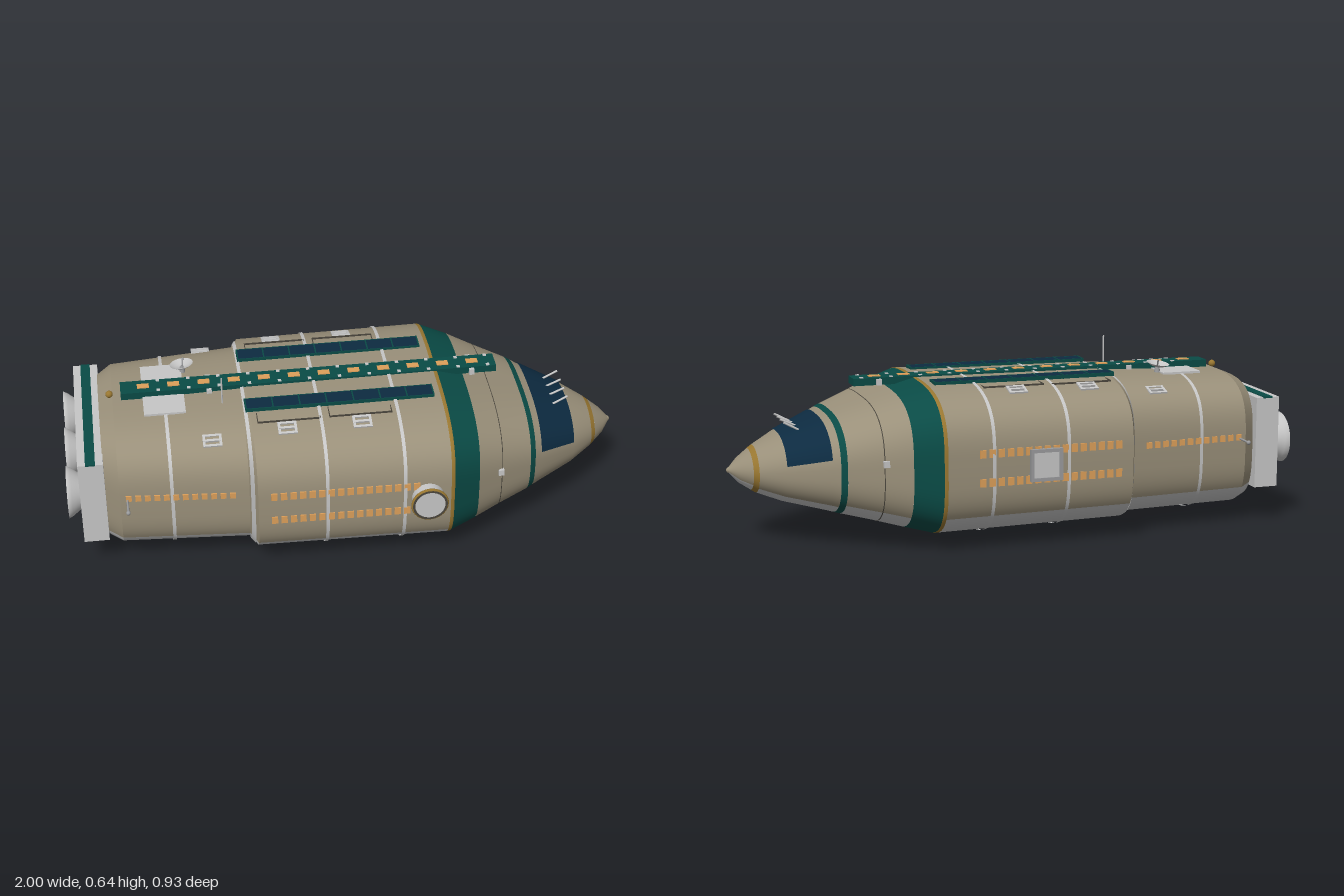
import * as THREE from 'three';

const mat = (name, color, side = THREE.FrontSide) => {
  const m = new THREE.MeshStandardMaterial({ color, side });
  m.name = name;
  return m;
};

export function createModel() {
  const M = {
    hull: mat('hull tan', 0x9a907a),
    green: mat('deep green', 0x0a4b46),
    navy: mat('navy', 0x0d2b41),
    gold: mat('gold', 0x997731),
    amber: mat('window amber', 0xdda05a),
    light: mat('light grey', 0xc6c6c6, THREE.DoubleSide),
    steel: mat('steel grey', 0x9a9b9d, THREE.DoubleSide),
    dark: mat('dark seam', 0x4a463d),
  };
  const ship = new THREE.Group();
  ship.name = 'spacecraft';
  const ZC = -0.017;

  // Hull profile: x, top, bottom, half width, roundness exponent
  const profile = [
    [-0.8701, 0.285, 0.285, 0, 3.4], [-0.87, 0.51, 0.06, 0.285, 3.4],
    [-0.82, 0.53, 0.047, 0.33, 3.4], [-0.375, 0.545, 0.045, 0.368, 3.4],
    [-0.35, 0.55, 0.037, 0.425, 3.4], [0.33, 0.555, 0.03, 0.435, 3.4],
    [0.43, 0.527, 0.053, 0.392, 3.2], [0.52, 0.494, 0.075, 0.348, 3],
    [0.64, 0.453, 0.102, 0.293, 2.7], [0.68, 0.435, 0.112, 0.268, 2.6],
    [0.82, 0.38, 0.145, 0.184, 2.3], [0.905, 0.338, 0.176, 0.116, 2],
    [0.96, 0.298, 0.213, 0.06, 2], [1, 0.257, 0.257, 0, 2],
  ];
  const at = (x) => {
    let i = 0;
    while (i < profile.length - 2 && x > profile[i + 1][0]) i++;
    const p = profile[i], q = profile[i + 1];
    const f = (x - p[0]) / (q[0] - p[0]);
    const [top, bot, a, n] = [1, 2, 3, 4].map((k) => p[k] + (q[k] - p[k]) * f);
    return { yc: (top + bot) / 2, b: (top - bot) / 2, a, n };
  };
  const sideZ = (x, y, s) => {
    const { yc, b, a, n } = at(x);
    return ZC + s * a * (1 - Math.abs((y - yc) / b) ** n) ** (1 / n);
  };
  const topY = (x, z) => {
    const { yc, b, a, n } = at(x);
    return yc + b * (1 - Math.abs((z - ZC) / a) ** n) ** (1 / n);
  };

  // Strip of hull skin between two stations and two angles (degrees)
  function band(name, material, x0, x1, d0 = 0, d1 = 360, lift = 0) {
    const xs = [x0, ...profile.map((p) => p[0]).filter((x) => x > x0 + 1e-6 && x < x1 - 1e-6), x1];
    const seg = Math.ceil((d1 - d0) / 4), pos = [], idx = [];
    const pw = (v, e) => Math.sign(v) * Math.abs(v) ** e;
    xs.forEach((x, i) => {
      const { yc, b, a, n } = at(x);
      for (let j = 0; j <= seg; j++) {
        const t = THREE.MathUtils.degToRad(d0 + ((d1 - d0) * j) / seg);
        pos.push(x, yc + (b + lift) * pw(Math.sin(t), 2 / n), ZC + (a + lift) * pw(Math.cos(t), 2 / n));
        if (i < xs.length - 1 && j < seg) {
          const k = i * (seg + 1) + j, m = k + seg + 1;
          idx.push(k, m, k + 1, m, m + 1, k + 1);
        }
      }
    });
    const g = new THREE.BufferGeometry();
    g.setAttribute('position', new THREE.Float32BufferAttribute(pos, 3));
    g.setIndex(idx);
    g.computeVertexNormals();
    return add(name, g, material, 0, 0, 0);
  }
  function add(name, geo, material, x, y, z) {
    const m = new THREE.Mesh(geo, material);
    m.name = name;
    m.position.set(x, y, z);
    ship.add(m);
    return m;
  }
  const box = (name, material, w, h, d, x, y, z) => add(name, new THREE.BoxGeometry(w, h, d), material, x, y, z);
  const cyl = (name, material, r0, r1, h, x, y, z) => add(name, new THREE.CylinderGeometry(r0, r1, h, 32), material, x, y, z);
  const rod = (name, material, r, a, b) => {
    const g = new THREE.TubeGeometry(new THREE.LineCurve3(new THREE.Vector3(...a), new THREE.Vector3(...b)), 1, r, 8);
    return add(name, g, material, 0, 0, 0);
  };
  // Rectangular frame lying flat, thin in y, tilted about x
  const frame = (name, material, w, d, t, x, y, z, tilt = 0) => {
    for (const s of [-1, 1]) {
      const e = (s * (d - t)) / 2;
      box(name, material, w, 0.006, t, x, y - e * Math.sin(tilt), z + e * Math.cos(tilt)).rotation.x = tilt;
      box(name, material, t, 0.006, d, x + (s * (w - t)) / 2, y, z).rotation.x = tilt;
    }
  };

  // Hull skin: tan above, light grey belly below; each row ends with the belly edge angle
  band('rearBulkhead', M.hull, -0.8701, -0.87);
  const sections = [
    [-0.87, -0.82, 28], [-0.82, -0.375, 28], [-0.375, -0.35, 28], [-0.35, 0.322, 28],
    [0.43, 0.635, 34], [0.655, 0.903, 40], [0.92, 1, 35],
  ];
  for (const [a, b, edge] of sections) {
    band('hullUpper', M.hull, a, b, -edge, 180 + edge);
    band('hullBelly', M.light, a, b, 180 + edge, 360 - edge);
  }
  band('goldTrim', M.gold, 0.322, 0.335);
  band('wideGreenBand', M.green, 0.335, 0.43);
  band('narrowGreenBand', M.green, 0.635, 0.655);
  band('noseGoldRing', M.gold, 0.903, 0.92);
  band('windshield', M.navy, 0.68, 0.82, 13, 167, 0.004);
  for (const x of [-0.64, -0.365, -0.11, 0.16]) band('hullSeam', M.light, x - 0.006, x + 0.006, 0, 360, 0.004);
  band('noseSeam', M.dark, 0.5185, 0.5215, 0, 360, 0.002);

  // Cabin windows on both sides
  for (const s of [-1, 1]) {
    for (const y of [0.35, 0.25])
      for (let i = 0; i < 16; i++) {
        const x = -0.295 + i * 0.033;
        box('cabinWindow', M.amber, 0.022, 0.028, 0.008, x, y, sideZ(x, y, s));
      }
    for (let i = 0; i < 12; i++) {
      const x = -0.79 + i * 0.0325;
      box('rearWindow', M.amber, 0.02, 0.022, 0.008, x, 0.325, sideZ(x, 0.325, s) + s * 0.001);
    }
    // Side probes and nose sensors
    const z = sideZ(-0.795, 0.32, s);
    rod('sideProbe', M.steel, 0.004, [-0.795, 0.32, z], [-0.795, 0.32, z + s * 0.075]);
    add('probeTip', new THREE.SphereGeometry(0.008, 12, 8), M.steel, -0.795, 0.32, z + s * 0.075);
    box('noseSensor', M.light, 0.02, 0.022, 0.022, 0.515, 0.32, sideZ(0.515, 0.32, s));
  }

  // Round hatch on the front side
  const hz = sideZ(0.24, 0.3, 1);
  cyl('roundHatch', M.light, 0.057, 0.057, 0.052, 0.24, 0.3, hz + 0.02).rotation.x = Math.PI / 2;
  add('hatchRim', new THREE.TorusGeometry(0.06, 0.006, 10, 40), M.gold, 0.24, 0.3, hz + 0.041);
  add('hatchSeal', new THREE.RingGeometry(0.053, 0.061, 40), M.dark, 0.24, 0.3, hz + 0.0475);

  // Square hatch on the back side
  const bz = sideZ(-0.025, 0.3, -1);
  box('squareHatch', M.light, 0.09, 0.09, 0.02, -0.025, 0.3, bz - 0.003);
  for (const s of [-1, 1]) {
    box('squareHatchFrame', M.steel, 0.115, 0.012, 0.024, -0.025, 0.3 + s * 0.05, bz - 0.005);
    box('squareHatchFrame', M.steel, 0.012, 0.112, 0.024, -0.025 + s * 0.052, 0.3, bz - 0.005);
  }

  // Belly docking port
  frame('dockingFrame', M.dark, 0.29, 0.14, 0.006, 0.085, 0.03, ZC);
  box('dockingRail', M.steel, 0.29, 0.008, 0.012, 0.085, 0.028, ZC);
  cyl('dockingCollar', M.light, 0.036, 0.036, 0.025, 0.085, 0.022, ZC);
  add('dockingRing', new THREE.TorusGeometry(0.035, 0.008, 10, 32), M.light, 0.085, 0.008, ZC).rotation.x = Math.PI / 2;
  cyl('dockingCentre', M.steel, 0.018, 0.018, 0.004, 0.085, 0.009, ZC);

  // Engine block with three nozzles
  box('engineBlock', M.light, 0.088, 0.33, 0.62, -0.912, 0.295, -0.02);
  box('engineStripe', M.green, 0.034, 0.006, 0.622, -0.912, 0.46, -0.02);
  const bell = [[0.055, -0.01], [0.07, 0.012], [0.084, 0.03], [0.092, 0.046], [0.084, 0.046], [0.066, 0.02], [0.05, 0.004]]
    .map((p) => new THREE.Vector2(...p));
  for (const z of [-0.25, -0.02, 0.21]) {
    add('engineNozzle', new THREE.LatheGeometry(bell, 40), M.light, -0.954, 0.295, z).rotation.z = Math.PI / 2;
    cyl('nozzleCore', M.steel, 0.06, 0.06, 0.006, -0.958, 0.295, z).rotation.z = Math.PI / 2;
  }

  // Spine with amber lights
  box('spine', M.green, 1.34, 0.026, 0.075, -0.12, 0.547, ZC);
  for (let i = 0; i < 12; i++) {
    const x = -0.71 + i * 0.107;
    box('spineLight', M.amber, 0.042, 0.004, 0.026, x, 0.561, ZC);
    for (const s of [-1, 1]) box('spineStud', M.light, 0.012, 0.004, 0.012, x + 0.053, 0.561, ZC + s * 0.03);
  }
  for (const x of [-0.48, 0.46]) box('spineClamp', M.light, 0.018, 0.022, 0.1, x, 0.545, ZC);

  // Roof panels with ribs, access outlines and grab frames
  for (const s of [-1, 1]) {
    const z = ZC + s * 0.157;
    box('roofPanel', M.navy, 0.665, 0.012, 0.062, -0.033, 0.554, z);
    for (const e of [-1, 1]) box('panelEdge', M.green, 0.665, 0.013, 0.003, -0.033, 0.554, z + e * 0.031);
    for (let i = 0; i < 8; i++) box('panelRib', M.green, 0.005, 0.015, 0.064, -0.363 + i * 0.0943, 0.554, z);
    for (const x of [-0.22, 0.03]) frame('accessOutline', M.dark, 0.22, 0.06, 0.003, x, topY(x, ZC + s * 0.22) - 0.001, ZC + s * 0.22);
    for (const x of [-0.49, -0.23, 0.03]) {
      const gz = ZC + s * 0.282, tilt = s * 0.3, gy = topY(x, gz) + 0.004;
      frame('grabFrame', M.light, 0.066, 0.052, 0.009, x, gy, gz, tilt);
      box('grabCrossbar', M.light, 0.06, 0.008, 0.009, x, gy, gz).rotation.x = tilt;
    }
  }
  box('roofPlate', M.light, 0.145, 0.008, 0.3, -0.642, 0.537, -0.02);

  // Dish, mast, beacon and nose rods
  cyl('dishStand', M.steel, 0.008, 0.012, 0.03, -0.565, 0.544, -0.125);
  const dish = [[0.002, 0], [0.024, 0.004], [0.042, 0.015]].map((p) => new THREE.Vector2(...p));
  add('dish', new THREE.LatheGeometry(dish, 32), M.light, -0.565, 0.556, -0.125).rotation.set(-0.12, 0, 0.12);
  rod('dishFeed', M.steel, 0.003, [-0.565, 0.556, -0.125], [-0.56, 0.584, -0.145]);
  rod('mast', M.light, 0.003, [-0.44, 0.53, 0.095], [-0.44, 0.645, 0.095]);
  add('beacon', new THREE.SphereGeometry(0.013, 16, 10), M.gold, -0.83, 0.538, ZC);
  for (const z of [-0.1, -0.043, 0.012, 0.065])
    rod('noseRod', M.light, 0.004, [0.75, topY(0.75, z) - 0.005, z], [0.81, 0.43, z]);
  add('noseTip', new THREE.SphereGeometry(0.011, 16, 10), M.hull, 0.988, 0.257, ZC);
  return ship;
}
